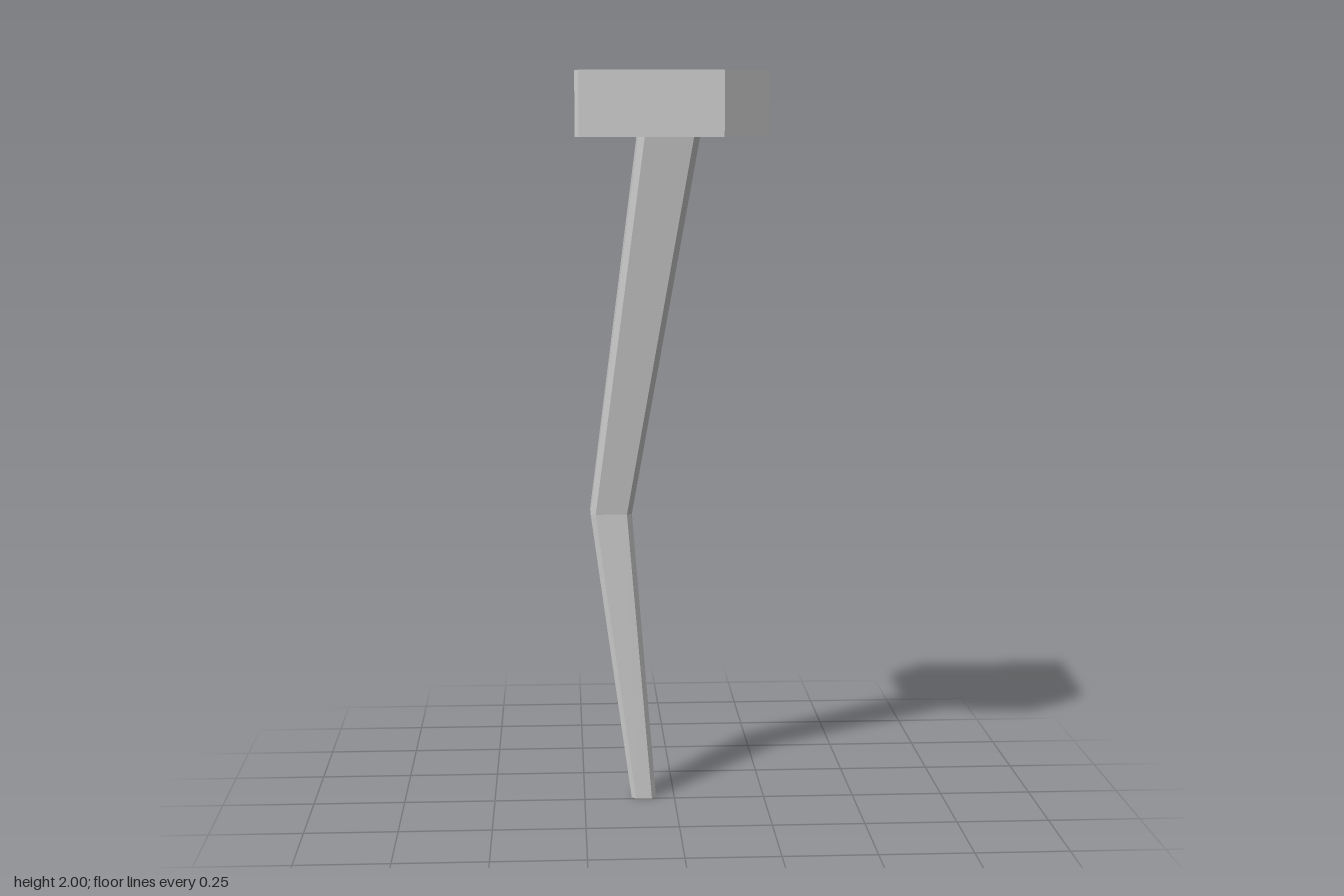
import * as THREE from 'three';

// Surface through equal rings of [x, y, z] points, listed bottom to top, clockwise from above;
// each end may be closed by a fan to a centre point.
function loft(rings, bottomCentre, topCentre) {
  const n = rings[0].length;
  const points = rings.flat();
  const index = [];
  for (let r = 0; r < rings.length - 1; r++) {
    for (let i = 0; i < n; i++) {
      const j = (i + 1) % n;
      const a = r * n + i, a2 = r * n + j, b = a + n, b2 = a2 + n;
      index.push(a2, a, b, a2, b, b2);
    }
  }
  const last = (rings.length - 1) * n;
  if (bottomCentre) {
    const c = points.push(bottomCentre) - 1;
    for (let i = 0; i < n; i++) index.push(c, i, (i + 1) % n);
  }
  if (topCentre) {
    const c = points.push(topCentre) - 1;
    for (let i = 0; i < n; i++) index.push(c, last + (i + 1) % n, last + i);
  }
  const geometry = new THREE.BufferGeometry();
  geometry.setAttribute('position', new THREE.Float32BufferAttribute(points.flat(), 3));
  geometry.setIndex(index);
  geometry.computeVertexNormals();
  return geometry;
}

// Square section with bevelled corners
function bevelledSquare(x, y, z, half, bevel) {
  const h = half, k = half - bevel;
  return [[-k, -h], [k, -h], [h, -k], [h, k], [k, h], [-k, h], [-h, k], [-h, -k]]
    .map(([dx, dz]) => [x + dx, y, z + dz]);
}

export function createModel() {
  const group = new THREE.Group();
  const flat = new THREE.MeshStandardMaterial({ color: 0xcccccc, flatShading: true });
  const smooth = new THREE.MeshStandardMaterial({ color: 0xcccccc });
  const add = (name, geometry, material) => {
    const mesh = new THREE.Mesh(geometry, material);
    mesh.name = name;
    group.add(mesh);
  };

  // Bent, tapering shaft
  const shaft = [
    bevelledSquare(-0.085, 0, -0.034, 0.034, 0.012),
    bevelledSquare(-0.172, 0.8, -0.09, 0.057, 0.014),
    bevelledSquare(-0.005, 1.91, 0, 0.084, 0.017),
  ];
  add('shaft', loft(shaft, [-0.085, 0, -0.034], [-0.005, 1.91, 0]), flat);

  // Irregular slab head
  const outline = [
    [-0.2, -0.255], [0.257, -0.257], [0.267, -0.245], [0.238, 0.17], [0.115, 0.253],
    [-0.258, 0.205], [-0.268, 0.193], [-0.26, -0.19], [-0.245, -0.24],
  ];
  const ring = (y, s = 1) => outline.map(([x, z]) => [x * s, y, z * s]);
  add('head', loft([ring(1.83), ring(2)], [0, 1.83, 0]), flat);

  // Shallow dished top of the head
  add('dishedTop', loft([ring(2)], null, [0, 1.915, -0.02]), smooth);

  return group;
}
